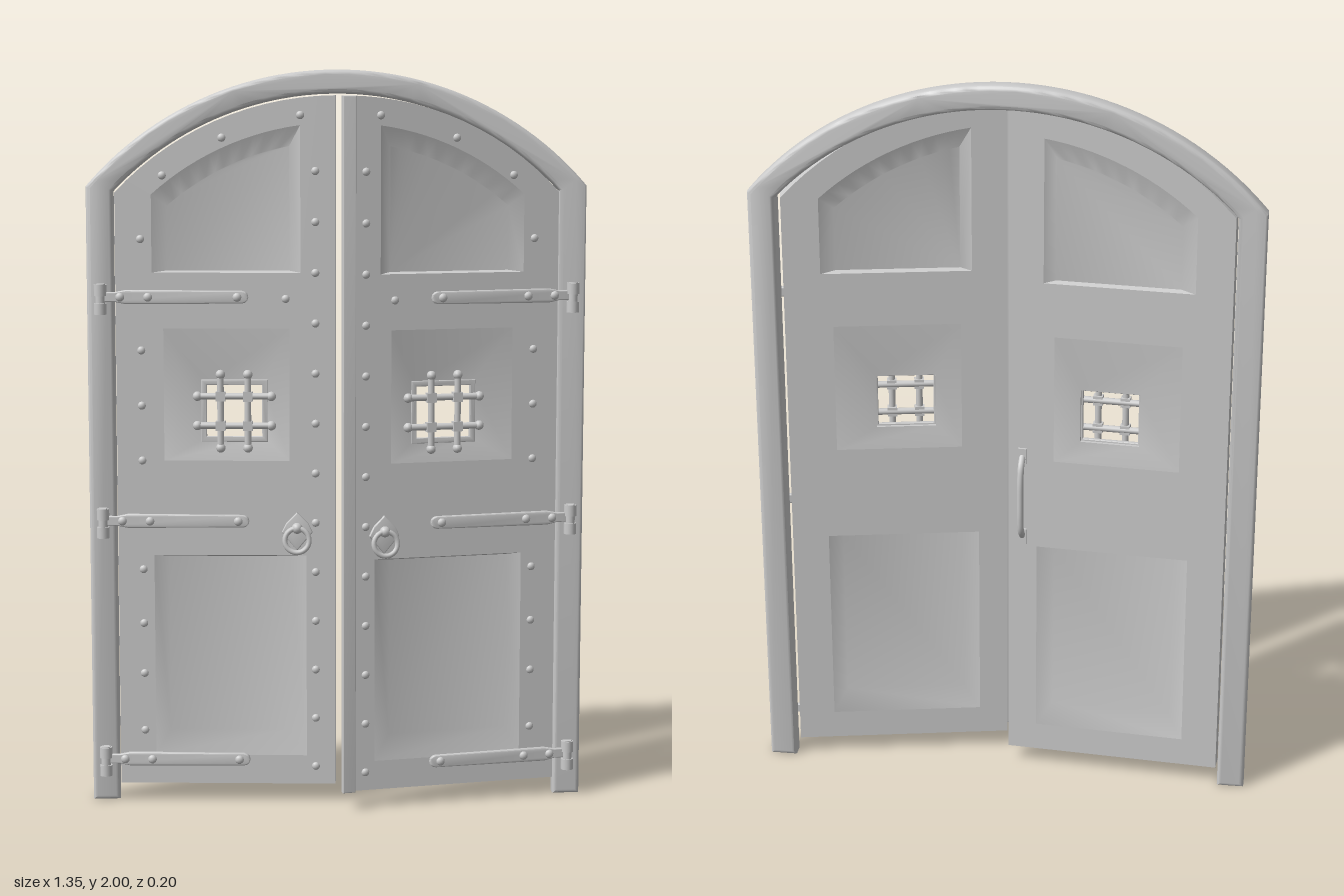
import * as THREE from 'three';
import { mergeGeometries, toCreasedNormals } from 'three/addons/utils/BufferGeometryUtils.js';

const mat = new THREE.MeshStandardMaterial({ color: 0xcccccc });
const CY = 1.11; // centre height of every arch curve
const T = 0.045; // leaf thickness; the leaf front lies at local z = 0

function add(parent, name, geo, x = 0, y = 0, z = 0) {
  const m = new THREE.Mesh(geo, mat);
  m.name = name;
  m.position.set(x, y, z);
  parent.add(m);
  return m;
}

// Points of an arc of radius r about (0, CY), from x = a to x = b
function arc(r, a, b, n) {
  const t0 = Math.acos(a / r), t1 = Math.acos(b / r);
  return Array.from({ length: n + 1 }, (_, i) => {
    const t = t0 + (t1 - t0) * i / n;
    return new THREE.Vector2(r * Math.cos(t), CY + r * Math.sin(t));
  });
}

const rect = (x0, x1, y0, y1) => [[x0, y0], [x1, y0], [x1, y1], [x0, y1]].map(p => new THREE.Vector2(...p));
const archRect = (x0, x1, y0, r) => [new THREE.Vector2(x0, y0), new THREE.Vector2(x1, y0), ...arc(r, x1, x0, 14)];
const flip = (pts, s) => (s > 0 ? pts : pts.map(p => new THREE.Vector2(-p.x, p.y)).reverse());

// Band of quads between successive loops [points, z]; loops run counter-clockwise
function loft(rings) {
  const v = [];
  for (let k = 0; k + 1 < rings.length; k++) {
    const [a, za] = rings[k], [b, zb] = rings[k + 1], n = a.length;
    for (let i = 0; i < n; i++) {
      const j = (i + 1) % n;
      v.push(a[i].x, a[i].y, za, a[j].x, a[j].y, za, b[j].x, b[j].y, zb);
      v.push(a[i].x, a[i].y, za, b[j].x, b[j].y, zb, b[i].x, b[i].y, zb);
    }
  }
  const g = new THREE.BufferGeometry();
  g.setAttribute('position', new THREE.Float32BufferAttribute(v, 3));
  return g;
}

// Sunk panel, the same on both faces of the leaf
function sunkPanel(outer, inner, depth) {
  const cap = new THREE.ShapeGeometry(new THREE.Shape(inner)).toNonIndexed();
  cap.deleteAttribute('uv');
  cap.deleteAttribute('normal');
  cap.translate(0, 0, -depth);
  const front = toCreasedNormals(mergeGeometries([loft([[outer, 0], [inner, -depth]]), cap]), 0.5);
  const back = front.clone();
  const p = back.attributes.position, q = back.attributes.normal, src = front.attributes;
  for (let i = 0; i < p.count; i++) {
    const k = i - (i % 3) + (2 - (i % 3)); // reversed corner order
    p.setXYZ(i, src.position.getX(k), src.position.getY(k), -T - src.position.getZ(k));
    q.setXYZ(i, src.normal.getX(k), src.normal.getY(k), -src.normal.getZ(k));
  }
  return mergeGeometries([front, back]);
}

function extrude(pts, depth, bevel = 0, holes = []) {
  const s = new THREE.Shape(pts);
  s.holes = holes.map(h => new THREE.Path(h));
  const g = new THREE.ExtrudeGeometry(s, {
    depth: depth - 2 * bevel, bevelEnabled: bevel > 0, bevelThickness: bevel,
    bevelSize: bevel, bevelOffset: -bevel, bevelSegments: 3,
  });
  return toCreasedNormals(g.translate(0, 0, bevel), 0.7);
}

function addStud(g, x, y, z = 0, r = 0.011) {
  add(g, 'stud', new THREE.SphereGeometry(r, 12, 8), x, y, z).scale.z = 0.7;
}

function addHinge(g, s, y) {
  const v = (x, h) => new THREE.Vector2(x, h);
  const tip = Array.from({ length: 7 }, (_, i) => {
    const t = Math.PI / 2 + Math.PI * i / 6;
    return v(0.257 + 0.017 * Math.cos(t), 0.017 * Math.sin(t));
  });
  const pts = [v(0.635, -0.013), v(0.635, 0.013), v(0.6, 0.013), v(0.57, 0.019), ...tip, v(0.57, -0.019), v(0.6, -0.013)];
  add(g, 'hingeStrap', extrude(flip(pts, s), 0.013, 0.003), 0, y, 0);
  for (const x of [0.27, 0.51, 0.585]) addStud(g, s * x, y, 0.013, 0.012);
  // Barrel with two thicker knuckles
  add(g, 'hingePin', new THREE.CylinderGeometry(0.013, 0.013, 0.08, 16), s * 0.638, y - 0.005, 0.01);
  for (const dy of [-0.032, 0.018])
    add(g, 'hingeKnuckle', new THREE.CylinderGeometry(0.017, 0.017, 0.03, 16), s * 0.638, y + dy, 0.01);
}

function addGrate(g, s) {
  const rim = extrude(flip(rect(0.19, 0.37, 1.0, 1.17), s), 0.012, 0.002, [flip(rect(0.205, 0.355, 1.015, 1.155), s)]);
  add(g, 'windowRim', rim, 0, 0, -0.024);
  const bar = new THREE.CylinderGeometry(0.009, 0.009, 0.2, 12);
  const knob = new THREE.SphereGeometry(0.013, 12, 8);
  const xs = [0.243, 0.317], ys = [1.045, 1.125];
  for (const x of xs) {
    add(g, 'grateBar', bar, s * x, 1.085, -0.003);
    for (const y of [0.985, 1.185]) add(g, 'grateKnob', knob, s * x, y, -0.003);
  }
  for (const y of ys) {
    add(g, 'grateBar', bar, s * 0.28, y, -0.009).rotation.z = Math.PI / 2;
    for (const x of [0.18, 0.38]) add(g, 'grateKnob', knob, s * x, y, -0.009);
    for (const x of xs) add(g, 'grateCollar', new THREE.BoxGeometry(0.026, 0.026, 0.022), s * x, y, -0.005);
  }
}

function addRingPull(g, s) {
  const h = new THREE.Group();
  h.name = 'ringPull';
  h.position.set(s * 0.11, 0.755, 0);
  const plate = [[0, -0.05], [0.042, 0], [0.03, 0.025], [0, 0.055], [-0.03, 0.025], [-0.042, 0]];
  add(h, 'pullPlate', extrude(plate.map(p => new THREE.Vector2(...p)), 0.01, 0.003));
  add(h, 'pullBoss', new THREE.SphereGeometry(0.015, 14, 10), 0, 0.012, 0.014);
  const ring = add(h, 'pullRing', new THREE.TorusGeometry(0.033, 0.007, 10, 28), 0, -0.02, 0.022);
  ring.rotation.x = -0.12;
  g.add(h);
}

// Grip on the rear of one leaf
function addRearHandle(g, s) {
  const path = new THREE.CatmullRomCurve3(
    [[0.72, 0], [0.745, -0.022], [0.78, -0.03], [0.84, -0.032], [0.9, -0.03], [0.935, -0.022], [0.96, 0]]
      .map(([y, z]) => new THREE.Vector3(s * 0.045, y, -T + z)));
  add(g, 'rearGrip', new THREE.TubeGeometry(path, 32, 0.009, 10));
  for (const y of [0.72, 0.96])
    add(g, 'rearGripPlate', new THREE.BoxGeometry(0.024, 0.045, 0.008), s * 0.045, y, -T - 0.003);
}

function makeLeaf(s, angle) {
  const pivot = new THREE.Group();
  pivot.name = s > 0 ? 'leftLeaf' : 'rightLeaf';
  pivot.position.set(s * 0.6, 0, -0.045);
  pivot.rotation.y = angle;
  const g = new THREE.Group();
  g.position.x = -s * 0.6;
  pivot.add(g);

  // Stiles and rails, with openings for the three panels
  const top = flip(archRect(0.1, 0.5, 1.46, 0.75), s);
  const mid = flip(rect(0.13, 0.47, 0.95, 1.31), s);
  const low = flip(rect(0.085, 0.5, 0.13, 0.69), s);
  const body = flip(archRect(0.006, 0.598, 0.05, 0.822), s);
  add(g, 'leafFrame', extrude(body, T, 0, [top, mid, low]), 0, 0, -T);
  add(g, 'upperPanel', sunkPanel(top, flip(archRect(0.13, 0.46, 1.465, 0.7), s), 0.015));
  add(g, 'lowerPanel', sunkPanel(low, flip(rect(0.13, 0.46, 0.2, 0.685), s), 0.015));

  // Middle panel: funnels on both faces meeting in a window
  const hole = flip(rect(0.2, 0.36, 1.01, 1.16), s);
  const funnel = loft([[mid, 0], [hole, -0.017], [hole, -T + 0.012], [mid, -T]]);
  add(g, 'windowPanel', toCreasedNormals(funnel, 0.4));
  addGrate(g, s);

  // Studs along the free edge, the hinge edge and the arch
  for (let i = 0; i < 13; i++) addStud(g, s * 0.06, 0.1 + i * 0.136);
  for (const y of [0.2, 0.36, 0.5, 0.65, 0.95, 1.1, 1.25, 1.55]) addStud(g, s * 0.53, y);
  for (const [x, y] of [[0.47, 1.72], [0.31, 1.82], [0.1, 1.88]]) addStud(g, s * x, y);
  for (const y of [0.12, 0.785, 1.395]) addHinge(g, s, y);
  addStud(g, s * 0.14, 1.39);
  addRingPull(g, s);

  if (s > 0) // strip covering the gap between the leaves
    add(g, 'meetingStrip', extrude(archRect(-0.008, 0.028, 0.05, 0.822), 0.02, 0.003));
  else addRearHandle(g, s);
  return pivot;
}

export function createModel() {
  const model = new THREE.Group();
  model.name = 'archedDoubleDoor';

  // Posts and arch in one rounded moulding
  const v = (x, y) => new THREE.Vector2(x, y);
  const outline = [v(0.601, 0), v(0.675, 0), ...arc(0.89, 0.675, -0.675, 48),
    v(-0.675, 0), v(-0.601, 0), ...arc(0.826, -0.601, 0.601, 48)];
  add(model, 'doorFrame', extrude(outline, 0.055, 0.012), 0, 0, -0.105);

  model.add(makeLeaf(1, 0.203), makeLeaf(-1, -0.07));
  return model;
}
